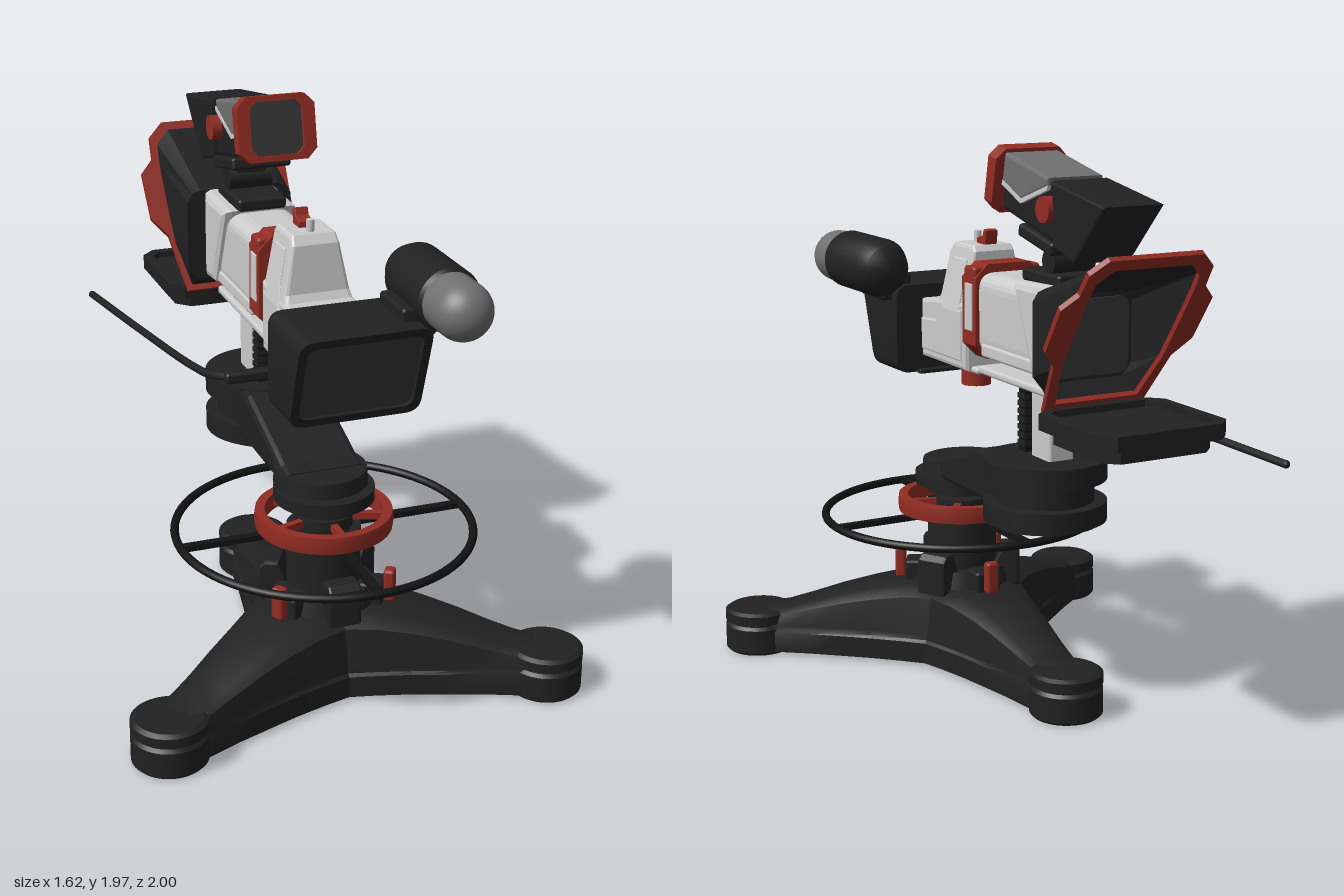
import * as THREE from 'three';
import { toCreasedNormals } from 'three/addons/utils/BufferGeometryUtils.js';
import { RoundedBoxGeometry } from 'three/addons/geometries/RoundedBoxGeometry.js';

const mat = (color) => new THREE.MeshStandardMaterial({ color, side: THREE.DoubleSide });
const GREY = mat(0xcccccc), BLACK = mat(0x212121), DARK = mat(0x131313), RED = mat(0x922c23);
const MID = mat(0x707070), GLASS = mat(0x363636);

function add(parent, name, geo, material, x = 0, y = 0, z = 0) {
  const m = new THREE.Mesh(geo, material);
  m.name = name;
  m.position.set(x, y, z);
  parent.add(m);
  return m;
}
const cyl = (r, h, r2 = r, n = 40) => new THREE.CylinderGeometry(r2, r, h, n);
const rbox = (w, h, d, r = 0.012) => new RoundedBoxGeometry(w, h, d, 2, r);
const lathe = (pts, n = 40) => toCreasedNormals(new THREE.LatheGeometry(pts.map((p) => new THREE.Vector2(...p)), n), 0.5);

// Extrude a [z, y] side profile across x, centred on x = 0
function side(points, width, bevel = 0.01) {
  const shape = new THREE.Shape(points.map((p) => new THREE.Vector2(...p)));
  const g = new THREE.ExtrudeGeometry(shape, {
    depth: width - 2 * bevel, bevelEnabled: bevel > 0, bevelSize: bevel,
    bevelThickness: bevel, bevelOffset: -bevel, bevelSegments: 2 });
  return g.translate(0, 0, bevel - width / 2).rotateY(-Math.PI / 2);
}
// Rectangle with cut corners, or rounded ones
function rect(w, h, c, round = false, Type = THREE.Shape) {
  const s = new Type(), a = w / 2, b = h / 2;
  s.moveTo(a - c, -b);
  [[a, -b, a, c - b], [a, b, a - c, b], [-a, b, -a, b - c], [-a, -b, c - a, -b]].forEach(([kx, ky, x, y], i) => {
    const start = [[a - c, -b], [a, b - c], [c - a, b], [-a, c - b]][i];
    s.lineTo(...start);
    round ? s.quadraticCurveTo(kx, ky, x, y) : s.lineTo(x, y);
  });
  return s;
}
function slab(w, h, depth, c, round, holeX, holeY = holeX) {
  const s = rect(w, h, c, round);
  if (holeX) s.holes.push(rect(w - 2 * holeX, h - 2 * holeY, c * 0.7, round, THREE.Path));
  return new THREE.ExtrudeGeometry(s, { depth, bevelEnabled: false, curveSegments: 6 });
}
// Skin a list of equal-length closed rings of [x, y, z]
function loft(rings, caps = true, crease = 0.6) {
  const n = rings[0].length, pos = rings.flat(2), idx = [];
  for (let i = 0; i < rings.length - 1; i++) {
    for (let j = 0; j < n; j++) {
      const a = i * n + j, b = i * n + (j + 1) % n;
      idx.push(a, b, a + n, b, b + n, a + n);
    }
  }
  if (caps) {
    const last = (rings.length - 1) * n;
    for (let j = 1; j < n - 1; j++) idx.push(0, j + 1, j, last, last + j, last + j + 1);
  }
  const g = new THREE.BufferGeometry();
  g.setAttribute('position', new THREE.Float32BufferAttribute(pos, 3));
  g.setIndex(idx);
  return toCreasedNormals(g, crease);
}
// Move every vertex by a rule
function bend(geo, rule) {
  const p = geo.attributes.position, v = new THREE.Vector3();
  for (let i = 0; i < p.count; i++) {
    rule(v.fromBufferAttribute(p, i));
    p.setXYZ(i, v.x, v.y, v.z);
  }
  geo.computeVertexNormals();
  return geo;
}
function group(parent, name, x = 0, y = 0, z = 0) {
  const g = new THREE.Group();
  g.name = name;
  g.position.set(x, y, z);
  parent.add(g);
  return g;
}

function buildPedestal(root) {
  const base = group(root, 'pedestal', 0, 0, 0.41);
  // [distance, half width, height] along each leg
  const stations = [[0, 0.24, 0.29], [0.12, 0.23, 0.29], [0.22, 0.2, 0.284], [0.34, 0.17, 0.263],
    [0.46, 0.147, 0.235], [0.58, 0.125, 0.2], [0.67, 0.113, 0.175], [0.78, 0.1, 0.16]];
  const rings = stations.map(([r, w, h]) => {
    const half = [[w, 0.012], [w, 0.09], [w * 0.95, 0.1], [w * 0.94, 0.118], [w * 0.82, h * 0.85 + 0.01], [w * 0.55, h]];
    return [...half, ...half.map(([x, y]) => [-x, y]).reverse()].map(([x, y]) => [x, y, r]);
  });
  for (let i = 0; i < 3; i++) {
    const leg = group(base, 'leg');
    leg.rotation.y = Math.PI / 3 + i * Math.PI * 2 / 3;
    add(leg, 'legBody', loft(rings), BLACK);
    add(leg, 'footLower', lathe([[0, 0], [0.12, 0], [0.13, 0.01], [0.13, 0.1], [0.12, 0.112], [0, 0.112]]), BLACK, 0, 0, 0.785);
    add(leg, 'footGroove', cyl(0.116, 0.02), DARK, 0, 0.116, 0.785);
    add(leg, 'footCap', lathe([[0, 0.12], [0.13, 0.12], [0.13, 0.155], [0.115, 0.165], [0, 0.165]]), BLACK, 0, 0, 0.785);
    add(leg, 'pedal', rbox(0.05, 0.12, 0.04), RED, 0, 0.345, 0.235);
    add(leg, 'pedalBracket', rbox(0.1, 0.1, 0.09), BLACK, 0, 0.31, 0.17);
    add(leg, 'collarBlock', side([[-0.22, 0.27], [-0.22, 0.4], [-0.2, 0.42], [-0.15, 0.42], [-0.12, 0.35], [-0.1, 0.27]], 0.12), BLACK);
  }
  add(base, 'collar', cyl(0.19, 0.08, 0.17), BLACK, 0, 0.31);
  add(base, 'column', cyl(0.13, 0.27), BLACK, 0, 0.425);
  add(base, 'columnNeck', cyl(0.1, 0.06), BLACK, 0, 0.58);
  // Steering wheel and red control ring
  add(base, 'steeringRing', new THREE.TorusGeometry(0.517, 0.015, 10, 72).rotateX(Math.PI / 2), DARK, 0, 0.55);
  for (let i = 0; i < 4; i++) {
    const spoke = add(base, 'steeringSpoke', new THREE.BoxGeometry(0.03, 0.02, 0.5).translate(0, 0, 0.26), DARK, 0, 0.55);
    spoke.rotation.y = i * Math.PI / 2;
  }
  add(base, 'redRing', lathe([[0.205, 0.56], [0.238, 0.56], [0.242, 0.59], [0.238, 0.62], [0.205, 0.62], [0.205, 0.56]], 48), RED);
  for (let i = 0; i < 5; i++) {
    add(base, 'redSpoke', new THREE.BoxGeometry(0.025, 0.025, 0.13).translate(0, 0, 0.145), RED, 0, 0.59).rotation.y = i * Math.PI * 0.4;
  }
  add(base, 'neckPost', cyl(0.035, 0.07), MID, 0, 0.635);
  add(base, 'turntableLower', cyl(0.13, 0.03), BLACK, 0, 0.65);
  add(base, 'turntable', cyl(0.175, 0.045), BLACK, 0, 0.688);
}

function buildArm(root) {
  const arm = group(root, 'arm');
  add(arm, 'armPivot', cyl(0.165, 0.055, 0.16), BLACK, 0, 0.738, 0.375);
  const profile = [[0.42, 0.71], [0.42, 0.77], [0.36, 0.78], [0.28, 0.808], [0, 0.895], [-0.22, 0.895], [-0.22, 0.71]];
  add(arm, 'armBeam', side(profile, 0.29, 0.02), BLACK);
  [[0.862, 0.217, 0.075], [0.785, 0.172, 0.1], [0.712, 0.217, 0.07]].forEach(([y, r, h]) =>
    add(arm, 'headDisc', cyl(r, h, r, 56), BLACK, 0, y, -0.222));
  add(arm, 'headDiscCap', cyl(0.195, 0.014), BLACK, 0, 0.672, -0.222);
  add(arm, 'liftPost', rbox(0.1, 0.27, 0.13), GREY, -0.015, 1.02, -0.245);
  add(arm, 'guidePost', new THREE.BoxGeometry(0.1, 0.25, 0.048), DARK, -0.015, 1.01, -0.12);
  for (let i = 0; i < 7; i++) add(arm, 'guideRib', new THREE.BoxGeometry(0.11, 0.018, 0.052), BLACK, -0.015, 0.93 + i * 0.028, -0.12);
}

function buildBody(cam) {
  // Lower plates
  add(cam, 'mountPlate', rbox(0.2, 0.03, 0.54), GREY, 0, 1.155, -0.15);
  add(cam, 'bodyPlate', rbox(0.2, 0.025, 0.4), GREY, 0, 1.145, 0.32);
  add(cam, 'tiltKnob', cyl(0.055, 0.08), RED, 0, 1.098, 0.315);
  // Rear body with tapered housing above it
  add(cam, 'body', side([[0.52, 1.14], [0.52, 1.36], [0.4, 1.375], [0.165, 1.39], [0.165, 1.14]], 0.25, 0.015), GREY);
  add(cam, 'bodyPanel', side([[0.51, 1.17], [0.51, 1.29], [0.39, 1.3], [0.34, 1.36], [0.19, 1.36], [0.19, 1.17]], 0.262, 0.008), GREY);
  const taper = (v) => { v.x *= 1 - (v.y - 1.35) * 1.5; };
  add(cam, 'housing', bend(side([[0.41, 1.35], [0.378, 1.4], [0.358, 1.56], [0.335, 1.59], [0.19, 1.59], [0.172, 1.57], [0.165, 1.35]], 0.248, 0.014), taper), GREY);
  add(cam, 'housingPanel', bend(side([[0.35, 1.35], [0.325, 1.42], [0.31, 1.54], [0.21, 1.54], [0.21, 1.35]], 0.262, 0.006), taper), GREY);
  add(cam, 'topKnob', cyl(0.014, 0.05), GREY, 0, 1.605, 0.3);
  add(cam, 'lever', side([[0.26, 1.58], [0.26, 1.61], [0.22, 1.62], [0.21, 1.645], [0.19, 1.64], [0.2, 1.58]], 0.05, 0.004), RED);
  // Red band with pale side panels
  add(cam, 'redBand', slab(0.27, 0.34, 0.1, 0.05, false), RED, 0, 1.37, 0.065);
  for (const s of [-1, 1]) {
    add(cam, 'bandPanel', rbox(0.01, 0.17, 0.055, 0.004), GREY, s * 0.135, 1.385, 0.115);
    add(cam, 'bandClip', rbox(0.04, 0.1, 0.08), RED, s * 0.115, 1.48, 0.115);
  }
  // Lens barrel
  add(cam, 'lensBarrel', slab(0.24, 0.29, 0.53, 0.06, true), GREY, 0, 1.365, -0.46);
  add(cam, 'barrelFoot', rbox(0.25, 0.05, 0.5), GREY, 0, 1.24, -0.2);
  add(cam, 'lensCollar', side([[-0.2, 1.52], [-0.455, 1.53], [-0.455, 1.2], [-0.33, 1.21]], 0.28, 0.03), GREY);
  add(cam, 'topRail', rbox(0.18, 0.045, 0.25), BLACK, 0, 1.54, -0.31);
}

function buildHood(cam) {
  const hood = group(cam, 'lensHood');
  // Half outlines from top to bottom as [x, y]; the rim carries side wings
  const rimHalf = [[0.175, 1.68], [0.23, 1.635], [0.235, 1.565], [0.285, 1.52], [0.28, 1.37], [0.225, 1.31], [0.19, 1.13]];
  const mouthHalf = [[0.15, 1.655], [0.2, 1.61], [0.205, 1.55], [0.205, 1.5], [0.203, 1.38], [0.2, 1.3], [0.165, 1.155]];
  const backHalf = [[0.15, 1.53], [0.18, 1.52], [0.2, 1.49], [0.2, 1.42], [0.2, 1.33], [0.2, 1.24], [0.16, 1.19]];
  const full = (half) => [...half, ...half.map(([x, y]) => [-x, y]).reverse()];
  const tilted = (half, s, off = 0) => full(half).map(([x, y]) => {
    const yy = 1.405 + (y - 1.405) * s;
    return [x * s, yy - off * 0.57, -0.5 - (yy - 1.13) * 0.69 - off * 0.82];
  });
  const back = (s, z) => full(backHalf).map(([x, y]) => [x * s, 1.36 + (y - 1.36) * s, z]);
  add(hood, 'hoodShell', loft([back(1, -0.455), tilted(mouthHalf, 1.03), tilted(mouthHalf, 0.98), back(0.85, -0.475)], true, 0.3), BLACK);
  const rim = [tilted(rimHalf, 1, -0.008), tilted(rimHalf, 1, 0.012), tilted(mouthHalf, 0.96, 0.012), tilted(mouthHalf, 0.96, -0.008)];
  add(hood, 'hoodRim', loft([...rim, rim[0]], false, 0.3), RED);
  add(hood, 'lensGlass', slab(0.3, 0.26, 0.01, 0.04, true), GLASS, 0, 1.36, -0.49);
  // Fold-down lens cover
  const cover = group(cam, 'lensCover', 0, 0, -0.75);
  const flat = (name, w, d, h, y, hole) =>
    add(cover, name, slab(w, d, h, 0.05, false, hole).rotateX(-Math.PI / 2), BLACK, 0, y);
  flat('coverBase', 0.42, 0.38, 0.05, 1.045);
  flat('coverPlate', 0.49, 0.45, 0.03, 1.09);
  flat('coverRim', 0.49, 0.45, 0.025, 1.118, 0.035);
  add(cover, 'coverHinge', rbox(0.2, 0.03, 0.05), BLACK, 0, 1.13, 0.225);
}

function buildMonitor(cam) {
  // Rear monitor, front slanted back towards the bottom
  const monitor = group(cam, 'monitor', 0, 1.245, 0);
  const slant = (g, z) => bend(g.translate(0, 0, z), (v) => { if (v.z > 0.6) v.z += v.y * 0.33; });
  const shell = (w, h, d, c, z, hole) => toCreasedNormals(slant(slab(w, h, d, c, true, hole), z), 0.5);
  add(monitor, 'monitorBox', shell(0.45, 0.33, 0.22, 0.05, 0.52), BLACK);
  add(monitor, 'monitorFrame', shell(0.45, 0.33, 0.04, 0.05, 0.735, 0.028), BLACK);
  add(monitor, 'monitorScreen', shell(0.39, 0.27, 0.015, 0.04, 0.745), GLASS);
  // Microphone with pale windshield
  const mic = group(cam, 'microphone', 0.282, 1.483, 0);
  const sleeve = [[0, 0.44], [0.045, 0.447], [0.085, 0.475], [0.108, 0.53], [0.108, 0.8], [0.095, 0.815], [0, 0.815]];
  add(mic, 'micSleeve', lathe(sleeve, 36).rotateX(Math.PI / 2), BLACK);
  add(mic, 'micWindshield', new THREE.CapsuleGeometry(0.098, 0.12, 10, 32).rotateX(Math.PI / 2), MID, 0, 0, 0.842);
  add(mic, 'micMount', rbox(0.12, 0.1, 0.2), BLACK, -0.08, -0.08, 0.66);
}

function buildViewfinder(cam) {
  const vf = group(cam, 'viewfinder', 0, 1.857, -0.028);
  vf.rotation.x = -0.21;
  add(vf, 'finderFrame', slab(0.28, 0.225, 0.055, 0.035, false, 0.045, 0.02), RED, 0, 0, -0.055);
  add(vf, 'finderScreen', slab(0.2, 0.19, 0.02, 0.015, false), GLASS, 0, 0, -0.035);
  add(vf, 'finderBody', side([[-0.05, 0.09], [-0.05, -0.1], [-0.54, -0.11], [-0.54, 0.09]], 0.19, 0.015), BLACK);
  add(vf, 'finderPanel', side([[-0.05, 0.1], [-0.05, 0], [-0.19, -0.025], [-0.35, 0.07], [-0.35, 0.1]], 0.215, 0.01), MID);
  const trim = side([[-0.05, 0.007], [-0.05, -0.01], [-0.192, -0.036], [-0.355, 0.06], [-0.355, 0.076], [-0.19, -0.02]], 0.217, 0);
  add(vf, 'panelTrim', trim, GREY);
  add(vf, 'eyeHood', side([[-0.38, 0.1], [-0.717, 0.115], [-0.571, -0.122], [-0.43, -0.112]], 0.225, 0.012), BLACK);
  add(vf, 'finderKnob', cyl(0.044, 0.26, 0.044, 28).rotateZ(Math.PI / 2), RED, 0, 0, -0.372);
  add(vf, 'finderFoot', rbox(0.22, 0.045, 0.23), BLACK, 0, -0.125, -0.31);
  add(cam, 'finderHinge', cyl(0.042, 0.16).rotateZ(Math.PI / 2), BLACK, 0, 1.6, -0.35);
  add(cam, 'finderBracket', rbox(0.12, 0.1, 0.07), BLACK, 0, 1.63, -0.35);
}

function buildHandle(root) {
  const pan = group(root, 'panHandle');
  add(pan, 'handleClamp', rbox(0.24, 0.04, 0.04), BLACK, -0.2, 1.105, 0.305);
  add(pan, 'crossBar', rbox(0.34, 0.016, 0.03, 0.005), BLACK, 0.06, 1.13, 0.3);
  const path = new THREE.CatmullRomCurve3([[-0.24, 1.09, 0.28], [-0.315, 1.06, 0.16], [-0.342, 1.042, 0.02],
    [-0.4, 1.013, -0.45], [-0.458, 0.982, -0.99]].map((p) => new THREE.Vector3(...p)));
  add(pan, 'handleRod', new THREE.TubeGeometry(path, 40, 0.014, 10), BLACK);
  add(pan, 'handleTip', new THREE.SphereGeometry(0.014, 10, 8), BLACK, -0.458, 0.982, -0.986);
}

export function createModel() {
  const root = new THREE.Group();
  root.name = 'studioCamera';
  buildPedestal(root);
  buildArm(root);
  const cam = group(root, 'cameraHead', -0.015);
  for (const build of [buildBody, buildHood, buildMonitor, buildViewfinder]) build(cam);
  buildHandle(root);
  return root;
}
